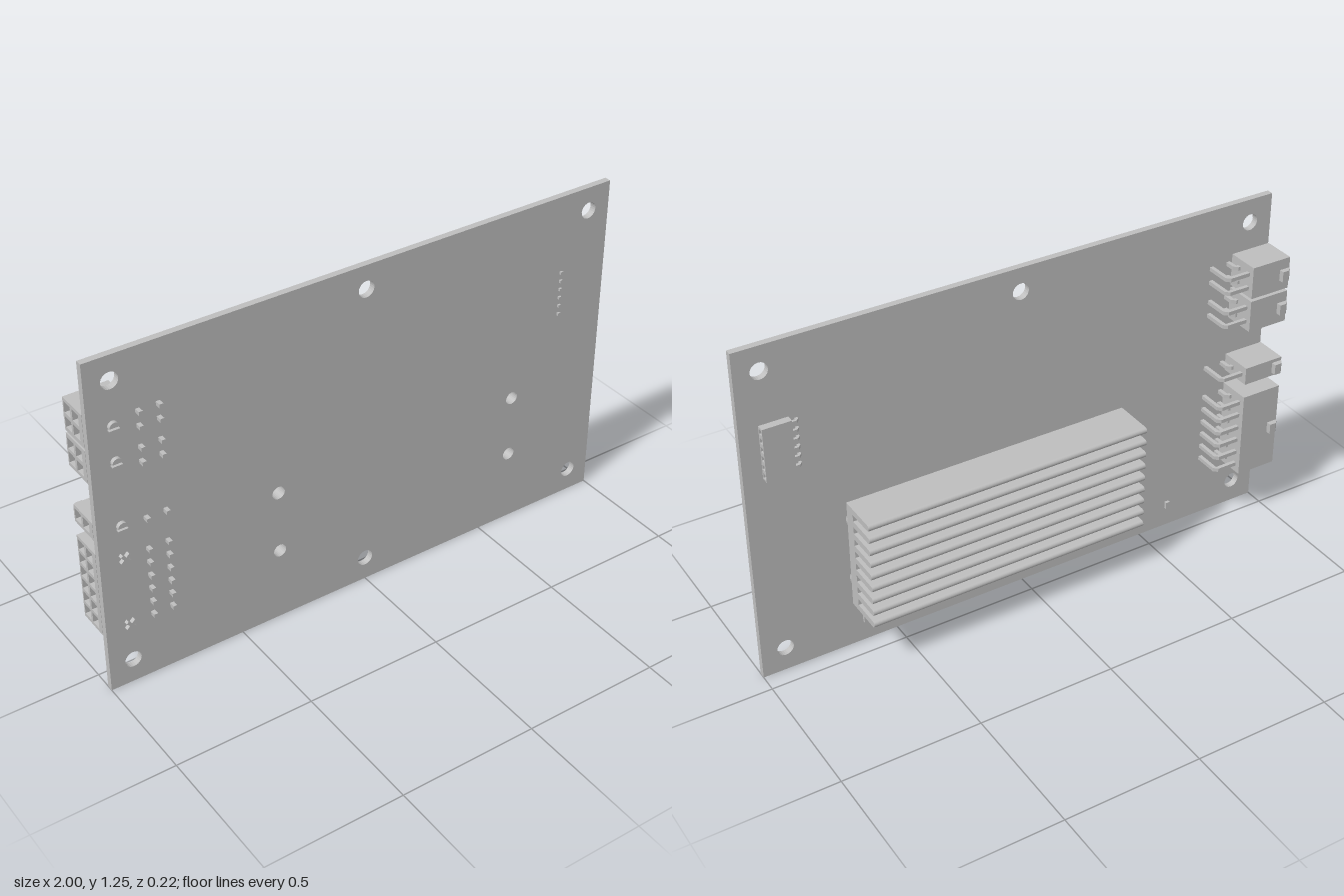
import * as THREE from 'three';

const grey = new THREE.MeshStandardMaterial({ color: 0xbebebe });
grey.name = 'plain grey';

function add(parent, name, geometry, x = 0, y = 0, z = 0) {
  const mesh = new THREE.Mesh(geometry, grey);
  mesh.name = name;
  mesh.position.set(x, y, z);
  parent.add(mesh);
  return mesh;
}

function group(parent, name) {
  const g = new THREE.Group();
  g.name = name;
  parent.add(g);
  return g;
}

function rect(x0, y0, x1, y1, Type = THREE.Shape) {
  return new Type([[x0, y0], [x1, y0], [x1, y1], [x0, y1]].map(p => new THREE.Vector2(...p)));
}

function disc(x, y, r, Type = THREE.Path) {
  const p = new Type();
  p.absarc(x, y, r, 0, Math.PI * 2);
  return p;
}

const extrude = (shape, depth) =>
  new THREE.ExtrudeGeometry(shape, { depth, bevelEnabled: false, curveSegments: 12 });

// shape drawn in (-z, y), swept along +x
const alongX = (shape, depth) => extrude(shape, depth).rotateY(Math.PI / 2);

// L-shaped lead in the x/z plane: runs from x0 to x1 at height z0, then down to z1
function lead(x0, x1, z0, z1, w) {
  const d = Math.sign(x1 - x0), h = w / 2, s = -z0;
  const pts = [
    [x0, s + h], [x1 - d * h, s + h], [x1 + d * h, s - h], [x1 + d * h, -z1],
    [x1 - d * h, -z1], [x1 - d * h, s - h], [x0, s - h]
  ].map(p => new THREE.Vector2(...p));
  return extrude(new THREE.Shape(pts), w).rotateX(-Math.PI / 2).translate(0, -h, 0);
}

const BACK = 0.066, FRONT = 0.09;
const sinkHoles = [[-0.345, 0.515], [-0.345, 0.278], [0.622, 0.515], [0.622, 0.278]];

function buildBoard(model) {
  const shape = rect(-1, 0, 1, 1.25);
  for (const x of [-0.913, 0, 0.913])
    for (const y of [0.09, 1.163]) shape.holes.push(disc(x, y, 0.03));
  for (const [x, y] of sinkHoles) shape.holes.push(disc(x, y, 0.024));
  add(model, 'board', extrude(shape, FRONT - BACK), 0, 0, BACK);
}

function buildHeatSink(model) {
  const sink = group(model, 'heatSink');
  const x0 = -0.39, x1 = 0.67;

  // drilled base plate
  const base = rect(x0, 0.19, x1, 0.603);
  for (const [x, y] of sinkHoles) base.holes.push(disc(x, y, 0.02));
  add(sink, 'sinkBase', extrude(base, 0.042));

  // nine fins with rounded tips
  const t = 0.0115;
  for (let i = 0; i < 9; i++) {
    const fin = new THREE.Shape();
    fin.moveTo(-0.001, -t);
    fin.lineTo(0.112 - t, -t);
    fin.absarc(0.112 - t, 0, t, -Math.PI / 2, Math.PI / 2);
    fin.lineTo(-0.001, t);
    add(sink, 'fin', alongX(fin, x1 - x0), x0, 0.2015 + i * 0.04875, 0);
  }

  // hollow standoffs between base and board
  for (const [x, y] of sinkHoles) {
    const ring = disc(0, 0, 0.042, THREE.Shape);
    ring.holes.push(disc(0, 0, 0.024));
    add(sink, 'standoff', extrude(ring, BACK - 0.04), x, y, 0.04);
  }
}

// two-row shrouded socket, open toward the board edge
function buildSocket(model, rows, cross) {
  const socket = group(model, 'powerSocket');
  const pitch = 0.0525, rowZ = [-0.03, 0.022], c = 0.02;
  const y0 = Math.min(...rows) - 0.033, y1 = Math.max(...rows) + 0.033;
  const mid = (y0 + y1) / 2;

  const shell = rect(-0.064, y0, 0.056, y1);
  for (const y of rows)
    for (const z of rowZ) shell.holes.push(rect(-z - c, y - c, -z + c, y + c, THREE.Path));
  add(socket, 'shroud', alongX(shell, 0.13), -1);
  add(socket, 'shroudBack', new THREE.BoxGeometry(0.026, y1 - y0, 0.12), -0.858, mid, 0.004);

  // latch ramp on the outer wall
  const ramp = new THREE.Shape([[-0.998, 0.05], [-0.998, 0.062], [-0.985, 0.075], [-0.96, 0.075], [-0.96, 0.05]]
    .map(p => new THREE.Vector2(...p)));
  add(socket, 'latch', extrude(ramp, 0.04).rotateX(-Math.PI / 2), 0, mid - 0.02, 0);

  // bent contacts, one pair per row
  for (const y of rows) {
    add(socket, 'upperPin', lead(-0.96, -0.76, rowZ[0], 0.112, 0.014), 0, y);
    add(socket, 'lowerPin', lead(-0.96, -0.83, rowZ[1], 0.112, 0.014), 0, y);
  }

  // locating pegs through the board
  if (cross) {
    for (const y of [y0 + 0.03, y1 - 0.032])
      for (const a of [1, -1]) {
        const bar = add(socket, 'crossPeg', new THREE.BoxGeometry(0.042, 0.01, 0.045), -0.915, y, 0.0825);
        bar.rotation.z = a * Math.PI / 4;
      }
  } else {
    for (const s of [1, -1]) {
      const half = new THREE.Shape();
      half.absarc(0, 0, 0.018, 0, Math.PI);
      half.closePath();
      const peg = add(socket, 'splitPeg', extrude(half, 0.044), -0.915, mid + s * 0.004, 0.06);
      if (s < 0) peg.rotation.z = Math.PI;
    }
  }
}

// single-row header on the opposite edge
function buildHeader(model) {
  const header = group(model, 'signalHeader');
  const rows = Array.from({ length: 6 }, (_, i) => 0.795 + i * 0.0325);
  const body = rect(-BACK, 0.779, -0.039, 0.974);
  for (const y of rows) body.holes.push(rect(-0.061, y - 0.009, -0.044, y + 0.009, THREE.Path));
  add(header, 'headerBody', alongX(body, 0.1), 0.833);
  add(header, 'headerBack', new THREE.BoxGeometry(0.02, 0.195, 0.027), 0.842, 0.8765, 0.0525);
  for (const y of rows) add(header, 'headerPin', lead(0.84, 0.808, 0.053, 0.098, 0.01), 0, y);
}

export function createModel() {
  const model = new THREE.Group();
  model.name = 'circuitBoard';

  buildBoard(model);
  buildHeatSink(model);
  buildSocket(model, [0.975, 1.028]);
  buildSocket(model, [0.845, 0.898]);
  buildSocket(model, [0.63]);
  buildSocket(model, [0.248, 0.3, 0.353, 0.405, 0.458, 0.51], true);
  buildHeader(model);

  // small surface components along the lower edge
  for (const side of [-1, 1])
    for (let i = 0; i < 4; i++)
      add(model, 'chip', new THREE.BoxGeometry(0.016, 0.026, 0.012), side * (0.24 + i * 0.126), 0.092, 0.061);

  return model;
}
